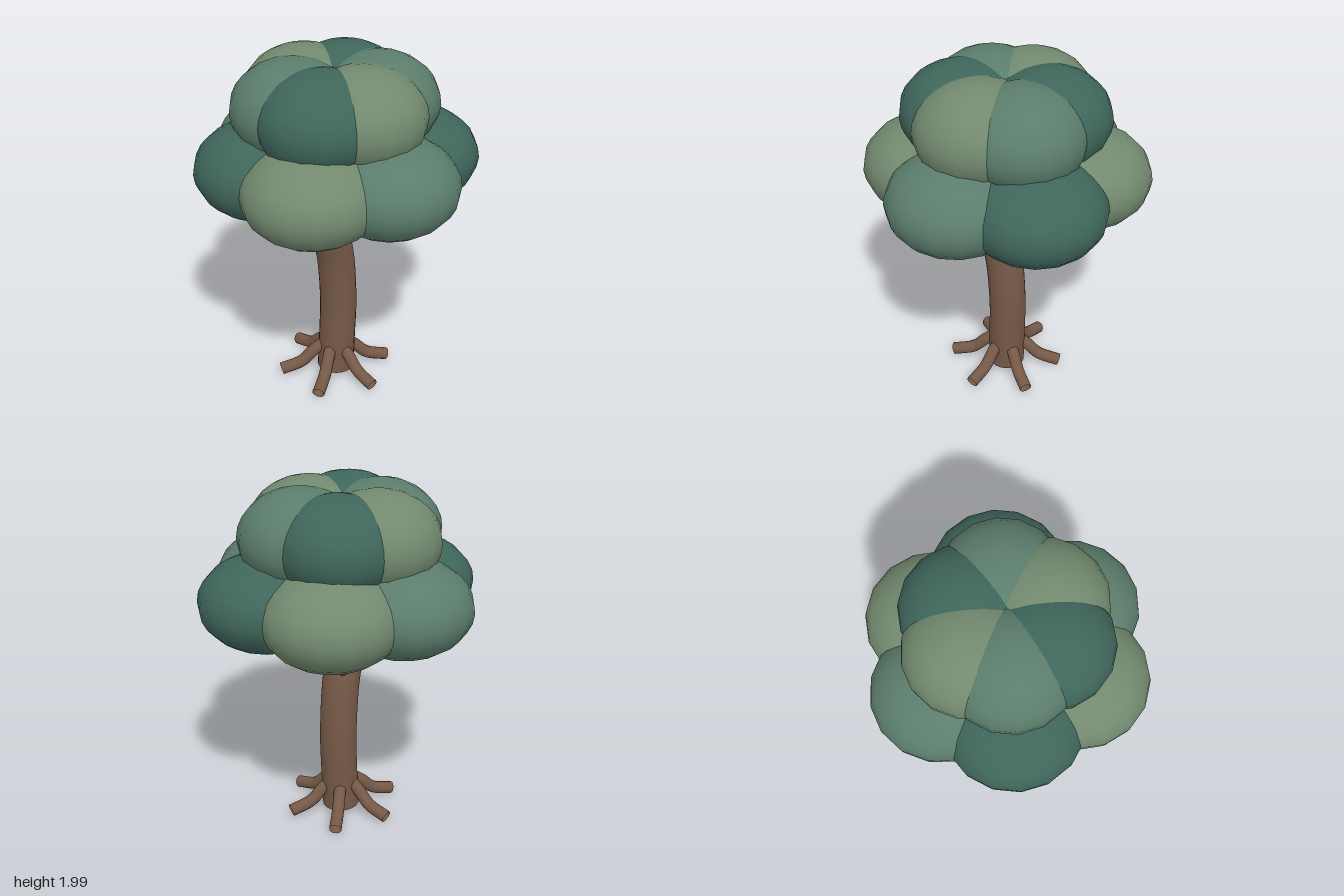
import * as THREE from 'three';

const bark = new THREE.MeshStandardMaterial({ color: 0x765947, side: THREE.DoubleSide });
const leaves = [0x3f665b, 0x5b7d6c, 0x72896f].map(
  (color) => new THREE.MeshStandardMaterial({ color })
);

// Open tube running smoothly through a few points
function tube(name, points, radius, sides, steps) {
  const curve = new THREE.CatmullRomCurve3(points.map((p) => new THREE.Vector3(...p)));
  const mesh = new THREE.Mesh(new THREE.TubeGeometry(curve, steps, radius, sides), bark);
  mesh.name = name;
  return mesh;
}

// Ring of six overlapping flattened leaf puffs
function puffRing(name, { x, y, distance, radius, height, firstColor }) {
  const ring = new THREE.Group();
  ring.name = name;
  for (let i = 0; i < 6; i++) {
    const a = (i * Math.PI) / 3;
    const puff = new THREE.Mesh(new THREE.SphereGeometry(1, 16, 14), leaves[(i + firstColor) % 3]);
    puff.name = 'leafPuff';
    puff.scale.set(radius, height, radius);
    // diagonal puffs sit a little toward -x
    const shift = i % 3 === 0 ? 0 : -0.015;
    puff.position.set(x + shift + distance * Math.cos(a), y, distance * Math.sin(a));
    puff.rotation.y = -a;
    ring.add(puff);
  }
  return ring;
}

export function createModel() {
  const tree = new THREE.Group();
  tree.name = 'tree';

  // Trunk, leaning toward the top
  tree.add(tube('trunk', [
    [-0.015, 0.03, 0], [-0.005, 0.25, 0], [0.002, 0.5, 0], [-0.018, 0.8, 0.015],
    [-0.06, 1.02, 0.045], [-0.085, 1.3, 0.065],
  ], 0.107, 24, 32));

  // Roots and branches, six of each around the trunk
  for (let i = 0; i < 6; i++) {
    const a = (i * Math.PI) / 3;
    const c = Math.cos(a), s = Math.sin(a);
    const root = [[0.07, 0.19], [0.125, 0.15], [0.2, 0.08], [0.325, 0.042]];
    tree.add(tube('root', root.map(([r, y]) => [-0.022 + r * c, y, r * s]), 0.036, 12, 14));

    const y0 = 0.95 - 0.04 * c + 0.02 * s;
    const branch = [[0.07, 0], [0.14, 0.1], [0.23, 0.21], [0.34, 0.4]];
    tree.add(tube('branch', branch.map(([r, h]) => [-0.045 + r * c, y0 + h, 0.02 + r * s]), 0.031, 12, 10));
  }

  // Canopy in two tiers
  tree.add(puffRing('lowerCanopy', {
    x: 0, y: 1.4, distance: 0.41, radius: 0.38, height: 0.262, firstColor: 0,
  }));
  tree.add(puffRing('upperCanopy', {
    x: -0.012, y: 1.73, distance: 0.228, radius: 0.342, height: 0.27, firstColor: 1,
  }));
  return tree;
}
